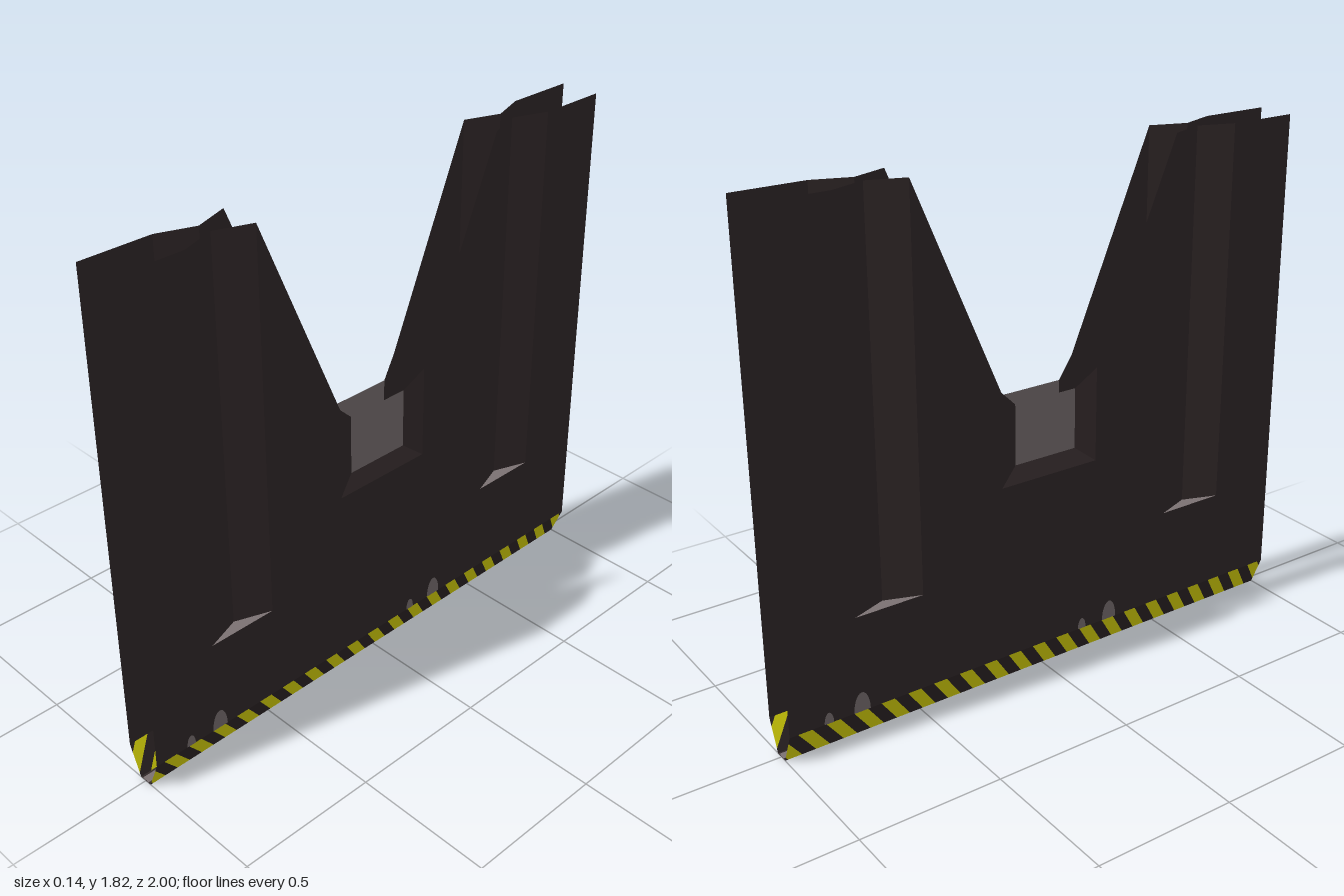
import * as THREE from 'three';

const mat = (name, color) => {
  const m = new THREE.MeshStandardMaterial({ color, side: THREE.DoubleSide });
  m.name = name;
  return m;
};

// Panel frame: u runs along the wall, v is up, w points outward
const OUT = 0.07, IN = 0.025, POCKET = 0.045;
const TOP = 1.815, BAND = 0.11, GROOVE_FOOT = 0.455;

// Flat polygons (counter-clockwise from outside), each drawn as a fan
function faces(name, material, polys) {
  const pos = [];
  for (const p of polys)
    for (let i = 1; i < p.length - 1; i++) pos.push(...p[0], ...p[i], ...p[i + 1]);
  const g = new THREE.BufferGeometry();
  g.setAttribute('position', new THREE.Float32BufferAttribute(pos, 3));
  g.computeVertexNormals();
  const mesh = new THREE.Mesh(g, material);
  mesh.name = name;
  return mesh;
}

// Keep the part of a polygon where s * u <= 1
function clip(poly, s) {
  const out = [];
  poly.forEach((a, i) => {
    const b = poly[(i + 1) % poly.length];
    const da = 1 - s * a[0], db = 1 - s * b[0];
    if (da >= 0) out.push(a);
    if (da * db < 0) out.push(a.map((c, k) => c + (b[k] - c) * da / (da - db)));
  });
  return out;
}

export function createModel() {
  const model = new THREE.Group();
  model.name = 'barrierWall';
  const brown = mat('brown metal', 0x32292a);
  const dark = mat('dark stripe', 0x2e2627);
  const yellow = mat('warning yellow', 0xe4e00a);
  const grey = mat('bare grey', 0x7c7273);

  function makePanel(name) {
    const panel = new THREE.Group();
    panel.name = name;

    // Flat sheet with the V cut-out, leaving gaps for grooves and pocket
    const half = [[0.19, 0.745], [0.19, 1.08], [0.5, TOP], [0.5, GROOVE_FOOT],
      [0.75, GROOVE_FOOT], [0.75, TOP], [1, TOP], [1, BAND]];
    const outline = [...half, ...half.map(([u, v]) => [-u, v]).reverse()];
    const shape = new THREE.Shape(outline.map(([u, v]) => new THREE.Vector2(u, v)));
    const sheet = new THREE.Mesh(new THREE.ShapeGeometry(shape), brown);
    sheet.name = 'sheet';
    sheet.position.z = OUT;
    panel.add(sheet);

    // Vertical V grooves with grey feet
    for (const c of [-0.625, 0.625]) {
      const l = c - 0.125, r = c + 0.125, f = GROOVE_FOOT;
      panel.add(faces('groove', brown, [
        [[l, f, OUT], [c, f, IN], [c, TOP, IN], [l, TOP, OUT]],
        [[c, f, IN], [r, f, OUT], [r, TOP, OUT], [c, TOP, IN]],
      ]));
      panel.add(faces('grooveFoot', grey, [[[l, f, OUT], [r, f, OUT], [c, f, IN]]]));
    }

    // Recessed pocket under the V cut-out
    panel.add(faces('pocketRim', brown, [
      [[-0.19, 0.745, OUT], [-0.12, 0.8, POCKET], [-0.12, 1.015, POCKET], [-0.19, 1.08, OUT]],
      [[0.12, 0.8, POCKET], [0.19, 0.745, OUT], [0.19, 1.08, OUT], [0.12, 1.015, POCKET]],
      [[-0.19, 0.745, OUT], [0.19, 0.745, OUT], [0.12, 0.8, POCKET], [-0.12, 0.8, POCKET]],
    ]));
    panel.add(faces('pocketPlate', grey, [[[-0.12, 0.8, POCKET], [0.12, 0.8, POCKET],
      [0.12, 1.015, POCKET], [-0.12, 1.015, POCKET]]]));

    // Slanted warning stripes on the inward-leaning foot band
    const bands = [[], []], width = 0.05, lean = 0.08;
    for (let i = -4; i < 41; i++) {
      const a = -0.97 + i * width, b = a + width;
      const quad = [[a + lean, 0, IN], [b + lean, 0, IN], [b, BAND, OUT], [a, BAND, OUT]];
      const poly = clip(clip(quad, 1), -1);
      if (poly.length > 2) bands[Math.abs(i % 2)].push(poly);
    }
    panel.add(faces('yellowStripes', yellow, bands[0]), faces('darkStripes', dark, bands[1]));

    // Worn paint patches above the band
    for (const [u, rx, ry] of [[-0.86, 0.017, 0.04], [-0.74, 0.03, 0.07],
      [0.14, 0.017, 0.04], [0.26, 0.03, 0.07]]) {
      const patch = new THREE.Mesh(new THREE.CircleGeometry(1, 14, 0, Math.PI), grey);
      patch.name = 'wornPatch';
      patch.scale.set(rx, ry, 1);
      patch.position.set(u, BAND, OUT + 0.001);
      panel.add(patch);
    }
    return panel;
  }

  // Two identical panels back to back, open at the top and ends
  for (const [name, s] of [['leftPanel', 1], ['rightPanel', -1]]) {
    const panel = makePanel(name);
    panel.rotation.y = s * Math.PI / 2;
    model.add(panel);
  }

  // Narrow floor joining the panels, with bare strips inside between the grooves
  const addPlate = (name, material, width, length, y, z) => {
    const plate = new THREE.Mesh(new THREE.PlaneGeometry(width, length), material);
    plate.name = name;
    plate.rotation.x = -Math.PI / 2;
    plate.position.set(0, y, z);
    model.add(plate);
  };
  addPlate('floor', brown, 2 * IN, 2, 0, 0);
  for (const [z, length] of [[-0.85, 0.3], [0, 1.1], [0.85, 0.3]])
    addPlate('floorStrip', grey, 0.03, length, 0.003, z);
  return model;
}
